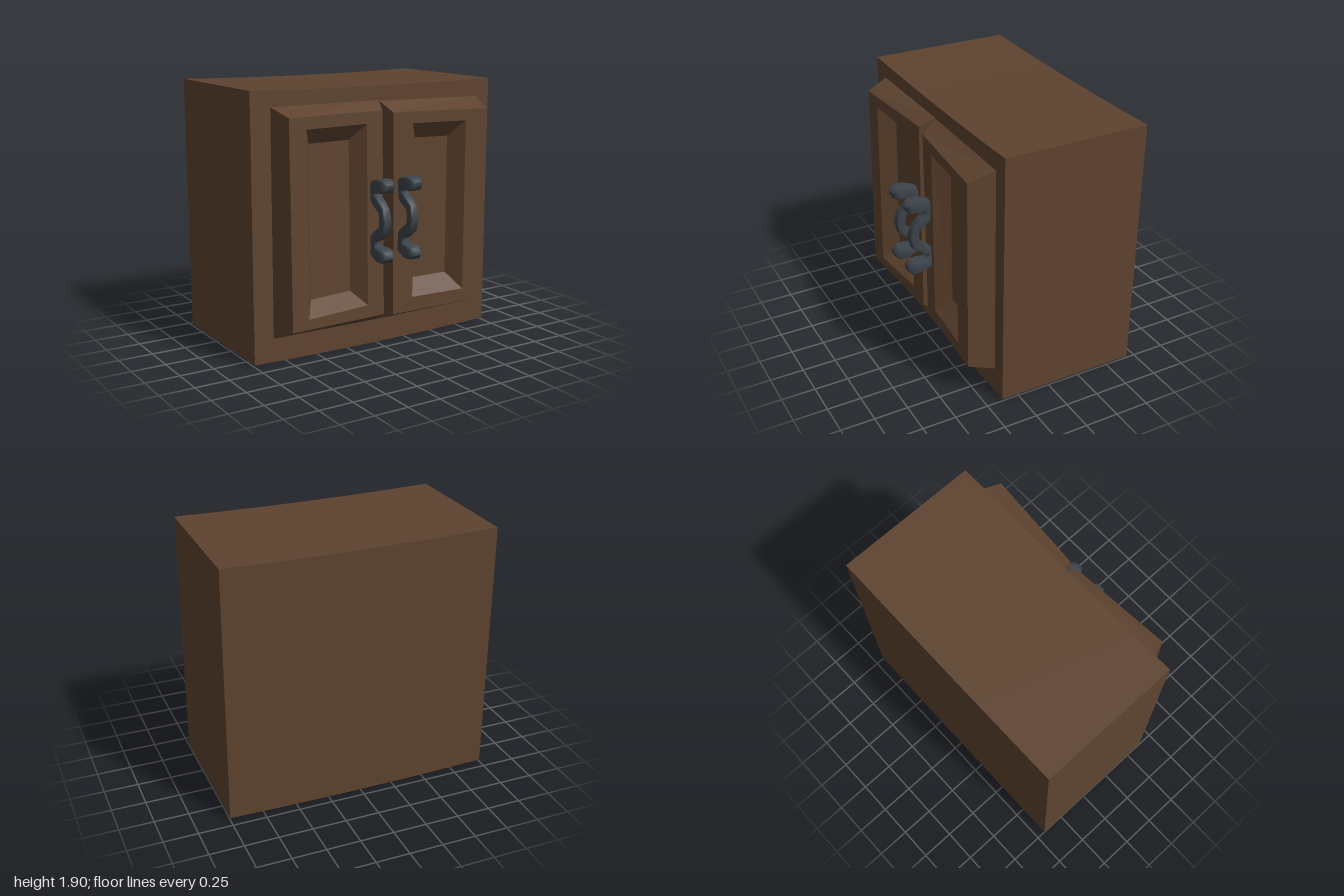
import * as THREE from 'three';

const wood = new THREE.MeshStandardMaterial({ color: 0x5e432f, flatShading: true });
wood.name = 'brown wood';
const iron = new THREE.MeshStandardMaterial({ color: 0x3d444b });
iron.name = 'dark iron';

function makeGeometry(positions, index) {
  const g = new THREE.BufferGeometry();
  g.setAttribute('position', new THREE.Float32BufferAttribute(positions, 3));
  g.setIndex(index);
  return g;
}

// Cabinet box whose top and bottom sag gently towards the middle
function makeBody() {
  const g = new THREE.BoxGeometry(2, 1.89, 1.07, 6, 1, 1);
  const p = g.attributes.position;
  for (let i = 0; i < p.count; i++) {
    const x = p.getX(i), top = p.getY(i) > 0, back = p.getZ(i) < 0;
    const sag = 0.014 * x * x;
    p.setY(i, top ? 1.889 + sag - 0.002 * x : sag);
    p.setZ(i, back ? (top ? -0.695 : -0.682) : 0.38);
  }
  g.computeVertexNormals();
  const mesh = new THREE.Mesh(g, wood);
  mesh.name = 'cabinetBody';
  return mesh;
}

// Door: rings of corners (top left, bottom left, bottom right, top right)
// for the foot, the front edge, the recess rim and the recess floor
function makeDoor(name, foot, front, frontZ, rim, floor) {
  const [x0, x1] = [front[0][0], front[2][0]];
  const [y0, y1] = [front[1][1], front[0][1]];
  const surfaceZ = ([x, y]) => {
    const u = (x - x0) / (x1 - x0), v = (y - y0) / (y1 - y0);
    const left = THREE.MathUtils.lerp(frontZ[1], frontZ[0], v);
    const right = THREE.MathUtils.lerp(frontZ[2], frontZ[3], v);
    return THREE.MathUtils.lerp(left, right, u);
  };
  const positions = [], index = [];
  foot.forEach(c => positions.push(...c, 0.378));
  front.forEach((c, i) => positions.push(...c, frontZ[i]));
  rim.forEach(c => positions.push(...c, surfaceZ(c)));
  floor.forEach(c => positions.push(...c, surfaceZ(c) - 0.11));
  for (let r = 0; r < 3; r++) {
    for (let i = 0; i < 4; i++) {
      const a = r * 4 + i, b = r * 4 + (i + 1) % 4;
      index.push(a, b, b + 4, a, b + 4, a + 4);
    }
  }
  index.push(12, 13, 14, 12, 14, 15);
  const g = makeGeometry(positions, index).toNonIndexed();
  g.computeVertexNormals();
  const mesh = new THREE.Mesh(g, wood);
  mesh.name = name;
  return mesh;
}

// Handle: chamfered section swept along a wavy path, mirrored about its middle
function makeHandle(name, x, y) {
  // height from the middle, z, half width, half thickness
  const half = [
    [0.243, 0.695, 0.036, 0.022], [0.248, 0.662, 0.055, 0.046],
    [0.246, 0.60, 0.055, 0.050], [0.232, 0.535, 0.042, 0.046],
    [0.165, 0.495, 0.036, 0.034], [0.115, 0.56, 0.036, 0.037],
    [0.070, 0.622, 0.032, 0.036], [0, 0.638, 0.034, 0.036],
  ];
  const stations = [...half, ...half.slice(0, -1).reverse().map(([h, ...rest]) => [-h, ...rest])];
  const c = 0.72;
  const section = [[1, -c], [1, c], [c, 1], [-c, 1], [-1, c], [-1, -c], [-c, -1], [c, -1]];
  const n = section.length, last = stations.length - 1;
  const positions = [], index = [];
  stations.forEach(([h, z, w, t], k) => {
    const a = stations[Math.max(k - 1, 0)], b = stations[Math.min(k + 1, last)];
    const dir = new THREE.Vector2(b[0] - a[0], b[1] - a[1]).normalize();
    for (const [u, v] of section) {
      positions.push(u * w, h + v * t * dir.y, z - v * t * dir.x);
    }
  });
  for (let k = 0; k < last; k++) {
    for (let i = 0; i < n; i++) {
      const a = k * n + i, b = k * n + (i + 1) % n;
      index.push(a, b, b + n, a, b + n, a + n);
    }
  }
  // End faces
  for (let i = 1; i < n - 1; i++) {
    index.push(0, i + 1, i, last * n, last * n + i, last * n + i + 1);
  }
  const g = makeGeometry(positions, index);
  g.computeVertexNormals();
  const mesh = new THREE.Mesh(g, iron);
  mesh.name = name;
  mesh.position.set(x, y, 0);
  return mesh;
}

export function createModel() {
  const model = new THREE.Group();
  model.name = 'cabinet';
  model.add(
    makeBody(),
    makeDoor('rightDoor',
      [[-0.85, 1.79], [-0.85, 0.18], [0.02, 0.175], [0.012, 1.79]],
      [[-0.80, 1.73], [-0.80, 0.265], [-0.015, 0.25], [-0.03, 1.73]],
      [0.545, 0.568, 0.505, 0.49],
      [[-0.665, 1.645], [-0.665, 0.335], [-0.16, 0.345], [-0.165, 1.645]],
      [[-0.585, 1.53], [-0.585, 0.435], [-0.245, 0.44], [-0.25, 1.53]]),
    makeDoor('leftDoor',
      [[0.015, 1.785], [0.03, 0.175], [0.885, 0.205], [0.885, 1.77]],
      [[0.055, 1.71], [0.065, 0.235], [0.84, 0.262], [0.84, 1.70]],
      [0.503, 0.507, 0.568, 0.565],
      [[0.215, 1.625], [0.222, 0.345], [0.66, 0.35], [0.66, 1.62]],
      [[0.305, 1.505], [0.302, 0.46], [0.58, 0.465], [0.58, 1.50]]),
    makeHandle('rightHandle', -0.098, 0.975),
    makeHandle('leftHandle', 0.136, 0.972),
  );
  return model;
}
